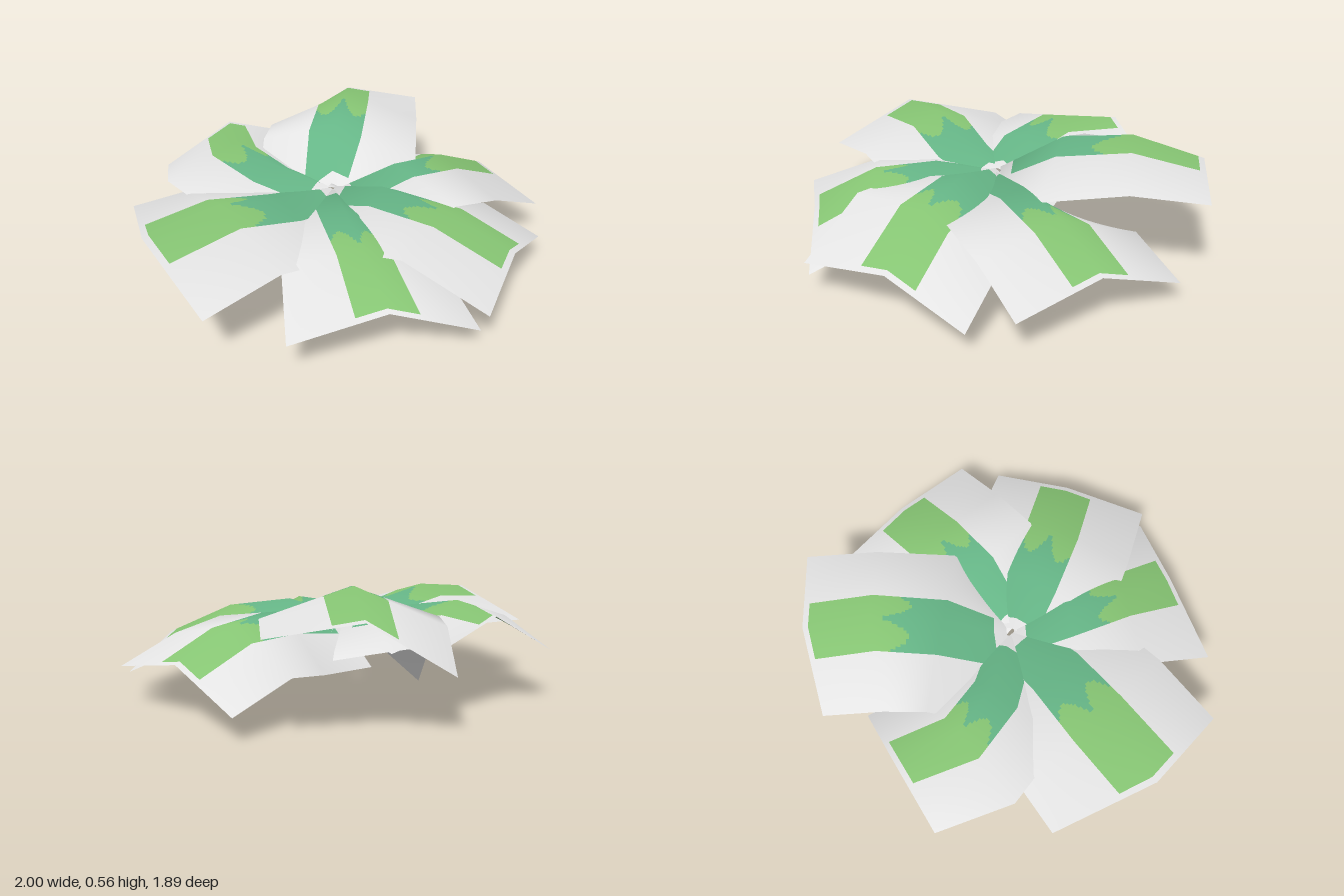
import * as THREE from 'three';

const mat = (name, color) => {
  const m = new THREE.MeshStandardMaterial({ color, side: THREE.DoubleSide });
  m.name = name;
  return m;
};

// Reach of the painted band on each side of the ridge, as a share of the half leaf
const BAND_LEFT = 0.36;
const BAND_RIGHT = 0.32;
const ROW_STEPS = 24; // fine rows per coarse row
const BAND_STEPS = 12; // fine columns on each side of the ridge

// 0 = pale blade, 1 = dark inner band, 2 = light outer band with rounded lobes
function bandAt(u, w) {
  if (w < -BAND_LEFT || w > BAND_RIGHT || u < 0.2 || u > 70 / 24) return 0;
  return u > 1.47 + 12 * (Math.abs(w) - 0.19) ** 2 ? 2 : 1;
}

// A leaf is a bent card: rows from hub to tip, each with left edge, ridge, right edge
function makeLeaf(rows, materials) {
  const coarse = new THREE.BufferGeometry();
  coarse.setAttribute('position', new THREE.Float32BufferAttribute(rows.flat(2), 3));
  const coarseIndex = [];
  const quad = (list, a, width) =>
    list.push(a, a + 1, a + width, a + 1, a + width + 1, a + width);
  for (let i = 0; i < rows.length - 1; i++) for (let j = 0; j < 2; j++) quad(coarseIndex, i * 3 + j, 3);
  coarse.setIndex(coarseIndex);
  coarse.computeVertexNormals();

  // Interpolates a coarse attribute at row u and side position w
  const sample = (attribute, u, w) => {
    const i = Math.min(Math.floor(u), rows.length - 2);
    const j = w < 0 ? 0 : 1;
    const at = (r, c) => new THREE.Vector3().fromBufferAttribute(attribute, r * 3 + c);
    const t = w < 0 ? w + 1 : w;
    const inner = at(i, j).lerp(at(i, j + 1), t);
    const outer = at(i + 1, j).lerp(at(i + 1, j + 1), t);
    return inner.lerp(outer, u - i);
  };

  // Fine columns only where the painted band lies
  const columns = [-1];
  for (let k = -BAND_STEPS; k <= BAND_STEPS; k++) {
    columns.push((k / BAND_STEPS) * (k < 0 ? BAND_LEFT : BAND_RIGHT));
  }
  columns.push(1);
  const count = (rows.length - 1) * ROW_STEPS;
  const width = columns.length;
  const positions = [], normals = [], faces = [[], [], []];
  for (let i = 0; i <= count; i++) {
    for (let j = 0; j < width; j++) {
      const u = i / ROW_STEPS;
      positions.push(...sample(coarse.attributes.position, u, columns[j]));
      normals.push(...sample(coarse.attributes.normal, u, columns[j]).normalize());
      if (i < count && j < width - 1) {
        const band = bandAt(u + 0.5 / ROW_STEPS, (columns[j] + columns[j + 1]) / 2);
        quad(faces[band], i * width + j, width);
      }
    }
  }
  const geometry = new THREE.BufferGeometry();
  geometry.setAttribute('position', new THREE.Float32BufferAttribute(positions, 3));
  geometry.setAttribute('normal', new THREE.Float32BufferAttribute(normals, 3));
  geometry.setIndex(faces.flat());
  let start = 0;
  faces.forEach((f, k) => {
    geometry.addGroup(start, f.length, k);
    start += f.length;
  });
  return new THREE.Mesh(geometry, materials);
}

export function createModel() {
  const group = new THREE.Group();
  group.name = 'leafRosette';
  const materials = [
    mat('paleBlade', 0xe4e4e4),
    mat('darkGreenBand', 0x66b687),
    mat('lightGreenBand', 0x87c674),
  ];
  const add = (name, ...rows) => {
    const leaf = makeLeaf(rows, materials);
    leaf.name = name;
    group.add(leaf);
  };

  add('backLeaf',
    [[-0.33, 0.2, 0], [-0.01, 0.34, -0.02], [0.26, 0.18, -0.08]],
    [[-0.45, 0.29, -0.33], [-0.07, 0.4, -0.3], [0.22, 0.22, -0.27]],
    [[-0.4, 0.33, -0.68], [-0.05, 0.44, -0.55], [0.25, 0.26, -0.43]],
    [[-0.15, 0.23, -0.95], [0.15, 0.41, -0.78], [0.365, 0.32, -0.66]]);
  add('backLeftLeaf',
    [[-0.26, 0, -0.3], [0.01, 0.35, -0.02], [0.12, 0.25, 0.14]],
    [[0.13, 0.39, -0.53], [0.25, 0.515, -0.17], [0.4, 0.37, 0.2]],
    [[0.3, 0.38, -0.62], [0.53, 0.555, -0.31], [0.72, 0.43, 0.01]],
    [[0.567, 0.24, -0.75], [0.8, 0.46, -0.48], [1, 0.41, -0.165]]);
  add('leftLeaf',
    [[0.09, 0.13, -0.2], [0, 0.34, 0.02], [-0.1, 0.15, 0.3]],
    [[0.36, 0.14, -0.1], [0.28, 0.39, 0.15], [0.19, 0.33, 0.54]],
    [[0.69, 0.2, -0.12], [0.55, 0.36, 0.25], [0.43, 0.28, 0.625]],
    [[0.97, 0.1, -0.02], [0.82, 0.235, 0.34], [0.695, 0.17, 0.72]]);
  add('frontLeaf',
    [[0.3, 0.18, -0.05], [0, 0.35, 0.01], [-0.33, 0.2, 0.05]],
    [[0.4, 0.19, 0.25], [0.03, 0.41, 0.25], [-0.36, 0.29, 0.28]],
    [[0.47, 0.22, 0.55], [0.07, 0.365, 0.56], [-0.32, 0.33, 0.57]],
    [[0.53, 0.1, 0.815], [0.15, 0.225, 0.858], [-0.245, 0.17, 0.94]]);
  add('frontRightLeaf',
    [[0.09, 0.13, 0.2], [-0.01, 0.34, 0.01], [-0.2, 0.2, -0.28]],
    [[0.05, 0.22, 0.42], [-0.2, 0.38, 0.2], [-0.42, 0.28, -0.05]],
    [[-0.1, 0.22, 0.62], [-0.38, 0.36, 0.42], [-0.6, 0.29, 0.17]],
    [[-0.257, 0.096, 0.915], [-0.53, 0.23, 0.65], [-0.86, 0.17, 0.4]]);
  add('rightLeaf',
    [[-0.1, 0.2, 0.3], [-0.01, 0.34, -0.01], [0.1, 0.2, -0.3]],
    [[-0.38, 0.26, 0.3], [-0.28, 0.375, -0.08], [-0.12, 0.27, -0.45]],
    [[-0.66, 0.31, 0.22], [-0.55, 0.44, -0.2], [-0.38, 0.29, -0.6]],
    [[-1, 0.245, 0.11], [-0.89, 0.4, -0.315], [-0.6, 0.28, -0.705]]);
  return group;
}
